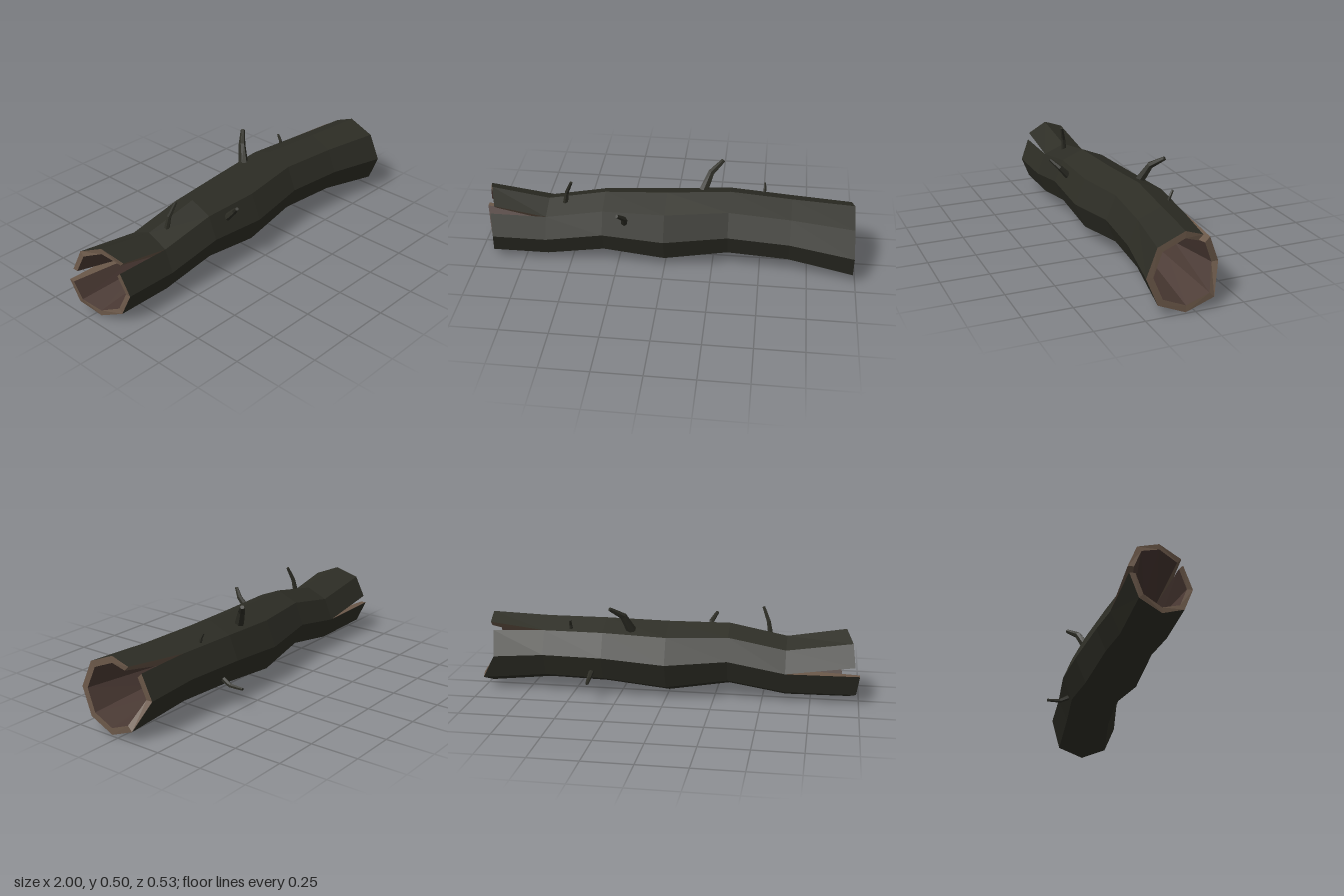
import * as THREE from 'three';

const SIDES = 8;
// cross-sections along the trunk: x, centre y, centre z, radius
const RINGS = [
  [-0.95, 0.17, 0.045, 0.16], [-0.62, 0.167, 0.04, 0.16], [-0.32, 0.22, 0.038, 0.165],
  [0, 0.198, 0.015, 0.19], [0.33, 0.225, -0.011, 0.175], [0.65, 0.22, 0.014, 0.172],
  [0.98, 0.197, 0.045, 0.196],
];
const LAST = RINGS.length - 1;
// ragged broken end: x of each corner, starting at the top and going over the front
const RAGGED = [0.97, 0.972, 0.98, 0.985, 0.99, 1.0, 0.92, 0.94];

function onRing([x, cy, cz, r], k, scale = 1) {
  const a = (k / SIDES) * Math.PI * 2;
  return new THREE.Vector3(x, cy + r * scale * Math.cos(a), cz + r * scale * Math.sin(a));
}

// Corner k of ring i as used by one lengthwise panel; panels part at the end cracks
function corner(i, panel, k, scale = 1) {
  k %= SIDES;
  const p = onRing(RINGS[i], k, scale);
  if (i === 0) {
    p.x = -0.9 - 0.31 * (0.205 - onRing(RINGS[0], k).z);
    if (panel === 0 || panel >= 6) { // lifted flap of bark
      p.y += 0.047;
      p.x += 0.025;
    }
  }
  if (i === LAST) {
    p.x = RAGGED[k];
    if (k === 7) { // split corner
      if (panel === 7) p.add(new THREE.Vector3(0.02, 0.022, 0.045));
      else p.add(new THREE.Vector3(-0.01, -0.008, -0.006));
    }
  }
  return p;
}

class Faces {
  points = [];
  quad(a, b, c, d, flip = false) {
    const order = flip ? [a, c, b, a, d, c] : [a, b, c, a, c, d];
    for (const p of order) this.points.push(p.clone());
  }
  mesh(name, material) {
    const geometry = new THREE.BufferGeometry().setFromPoints(this.points);
    geometry.computeVertexNormals();
    const mesh = new THREE.Mesh(geometry, material);
    mesh.name = name;
    return mesh;
  }
}

// Tapered, bent twig with a closed tip
function twig(name, path, r0, r1, material) {
  const pts = path.map((p) => new THREE.Vector3(...p));
  const n = 6, faces = new Faces();
  const rings = pts.map((p, i) => {
    const dir = pts[Math.min(i + 1, pts.length - 1)].clone().sub(pts[Math.max(i - 1, 0)]).normalize();
    const u = new THREE.Vector3(1, 0, 0).cross(dir).normalize();
    const v = dir.clone().cross(u);
    const r = THREE.MathUtils.lerp(r0, r1, i / (pts.length - 1));
    return Array.from({ length: n }, (_, k) => {
      const a = (k / n) * Math.PI * 2;
      return p.clone().addScaledVector(u, r * Math.cos(a)).addScaledVector(v, r * Math.sin(a));
    });
  });
  for (let k = 0; k < n; k++) {
    const m = (k + 1) % n;
    for (let i = 0; i < rings.length - 1; i++) {
      faces.quad(rings[i][k], rings[i][m], rings[i + 1][m], rings[i + 1][k]);
    }
    const tip = rings[rings.length - 1];
    faces.points.push(tip[k].clone(), tip[m].clone(), pts[pts.length - 1].clone());
  }
  return faces.mesh(name, material);
}

export function createModel() {
  const model = new THREE.Group();
  model.name = 'hollowLog';
  const bark = new THREE.MeshStandardMaterial({ color: 0x2d2d25, flatShading: true });
  const rimWood = new THREE.MeshStandardMaterial({ color: 0x6b5849, flatShading: true, side: THREE.DoubleSide });
  const innerWood = new THREE.MeshStandardMaterial({ color: 0x4b3a34, flatShading: true, side: THREE.DoubleSide });

  // Bark shell
  const shell = new Faces();
  for (let i = 0; i < LAST; i++) {
    for (let k = 0; k < SIDES; k++) {
      shell.quad(corner(i, k, k), corner(i, k, k + 1), corner(i + 1, k, k + 1), corner(i + 1, k, k));
    }
  }
  model.add(shell.mesh('bark', bark));

  // Hollow ends: broken rim, tapering cavity, back wall and crack walls
  for (const side of [-1, 1]) {
    const end = side < 0 ? 0 : LAST;
    const next = end - side;
    const flip = side < 0;
    const [, cy, cz, r] = RINGS[end];
    const middle = [RINGS[next][0], cy, cz, r * 0.53];
    const back = [side * 0.45, cy, cz, r * 0.35];
    const wallCentre = new THREE.Vector3(back[0], cy, cz);
    const rim = new Faces(), cavity = new Faces(), cracks = new Faces();
    const hollow = 0.82;
    for (let k = 0; k < SIDES; k++) {
      const m = k + 1;
      const a = corner(end, k, k, hollow), b = corner(end, k, m, hollow);
      rim.quad(corner(end, k, k), corner(end, k, m), b, a, flip);
      cavity.quad(a, b, onRing(middle, m), onRing(middle, k), flip);
      cavity.quad(onRing(middle, k), onRing(middle, m), onRing(back, m), onRing(back, k), flip);
      const c = onRing(back, k), d = onRing(back, m);
      cavity.points.push(...(flip ? [c, wallCentre, d] : [c, d, wallCentre]));
    }
    // both torn faces of each crack
    for (const k of side < 0 ? [1, 6] : [7]) {
      for (const panel of [k - 1, k]) {
        cracks.quad(corner(next, panel, k), corner(end, panel, k),
          corner(end, panel, k, hollow), onRing(middle, k), panel === k);
      }
    }
    const label = side < 0 ? 'right' : 'left';
    model.add(rim.mesh(label + 'Rim', rimWood),
      cavity.mesh(label + 'Cavity', innerWood),
      cracks.mesh(label + 'CrackWalls', rimWood));
  }

  // Broken twigs
  model.add(
    twig('topTwig', [[-0.532, 0.31, 0.068], [-0.518, 0.39, 0.077], [-0.488, 0.465, 0.096]], 0.015, 0.008, bark),
    twig('frontTwig', [[-0.205, 0.285, 0.165], [-0.2, 0.34, 0.215], [-0.228, 0.382, 0.258]], 0.019, 0.009, bark),
    twig('largeTwig', [[0.185, 0.355, -0.082], [0.22, 0.442, -0.125], [0.28, 0.49, -0.176]], 0.026, 0.011, bark),
    twig('backTwig', [[0.39, 0.145, -0.125], [0.395, 0.114, -0.19], [0.388, 0.11, -0.262]], 0.015, 0.008, bark),
    twig('smallTwig', [[0.505, 0.34, -0.09], [0.507, 0.375, -0.1], [0.505, 0.405, -0.115]], 0.01, 0.006, bark),
  );
  return model;
}
